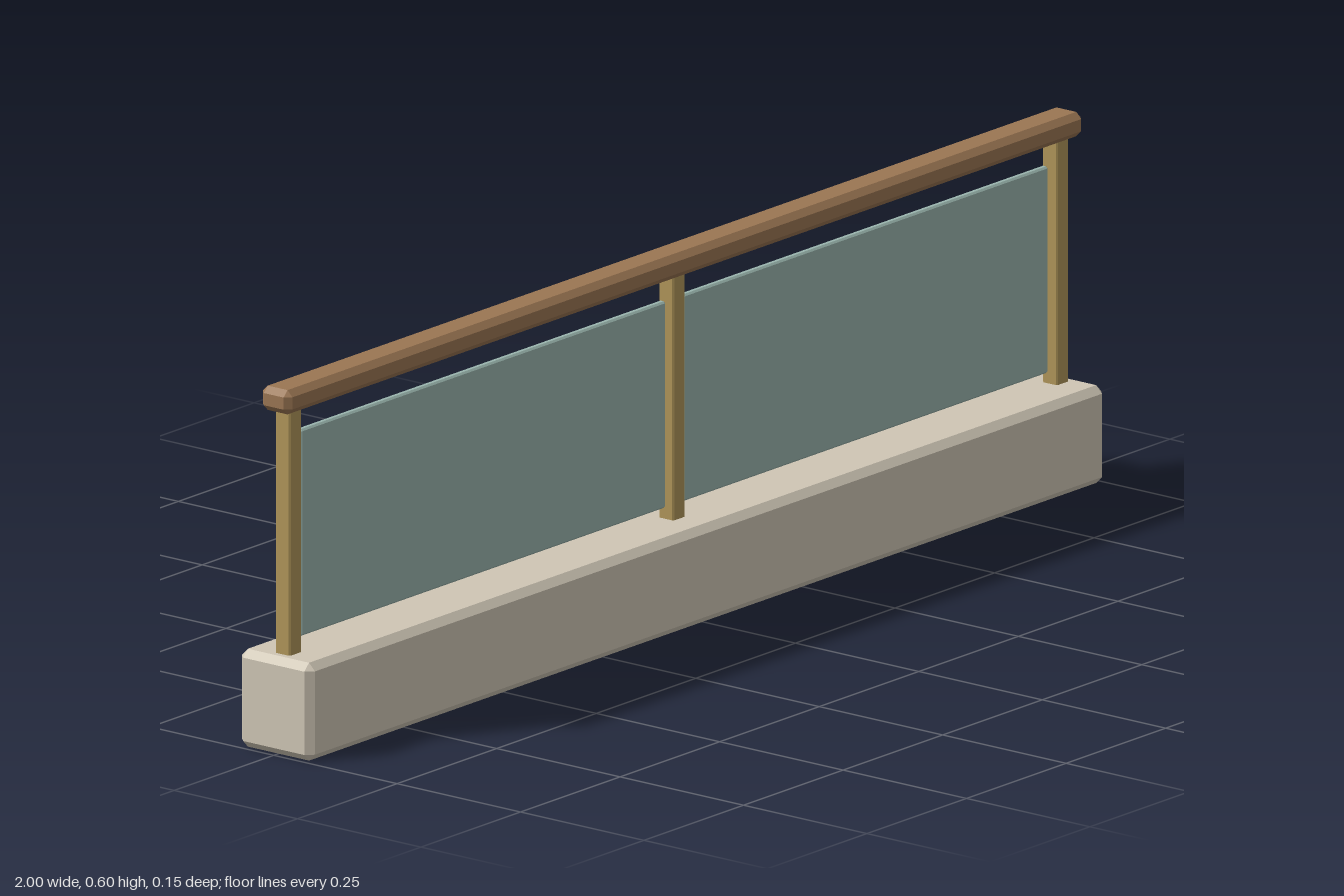
import * as THREE from 'three';
import { ConvexGeometry } from 'three/addons/geometries/ConvexGeometry.js';

const material = (color) => new THREE.MeshStandardMaterial({ color, flatShading: true });

// Box with every edge cut at 45 degrees by c
function chamferedBox(w, h, d, c) {
  const points = [];
  for (const sx of [-1, 1]) for (const sy of [-1, 1]) for (const sz of [-1, 1]) {
    for (let axis = 0; axis < 3; axis++) {
      // on each corner, one point per face: full size on one axis, inset on the others
      const [x, y, z] = [w, h, d].map((s, i) => s / 2 - (i === axis ? 0 : c));
      points.push(new THREE.Vector3(sx * x, sy * y, sz * z));
    }
  }
  return new ConvexGeometry(points);
}

export function createModel() {
  const group = new THREE.Group();
  const stone = material(0xcfc6b5);
  const wood = material(0x9b7653);
  const brass = material(0xb0965a);
  const glass = material(0x9ab5ae);

  const add = (name, mat, [w, h, d], c, x, y) => {
    const mesh = new THREE.Mesh(chamferedBox(w, h, d, c), mat);
    mesh.name = name;
    mesh.position.set(x, y, 0);
    group.add(mesh);
  };

  // Stone curb
  add('base', stone, [2, 0.161, 0.148], 0.012, 0, 0.0805);

  // Handrail along the top
  add('handrail', wood, [2, 0.04, 0.06], 0.01, 0, 0.582);

  // Three upright posts
  [['rightPost', -0.963], ['middlePost', 0], ['leftPost', 0.963]].forEach(([name, x]) =>
    add(name, brass, [0.03, 0.418, 0.03], 0.0025, x, 0.361));

  // Glass panels between the posts
  for (const side of [-1, 1]) {
    add(side < 0 ? 'rightPanel' : 'leftPanel', glass, [0.916, 0.34, 0.012], 0.003, side * 0.48, 0.352);
  }
  return group;
}
